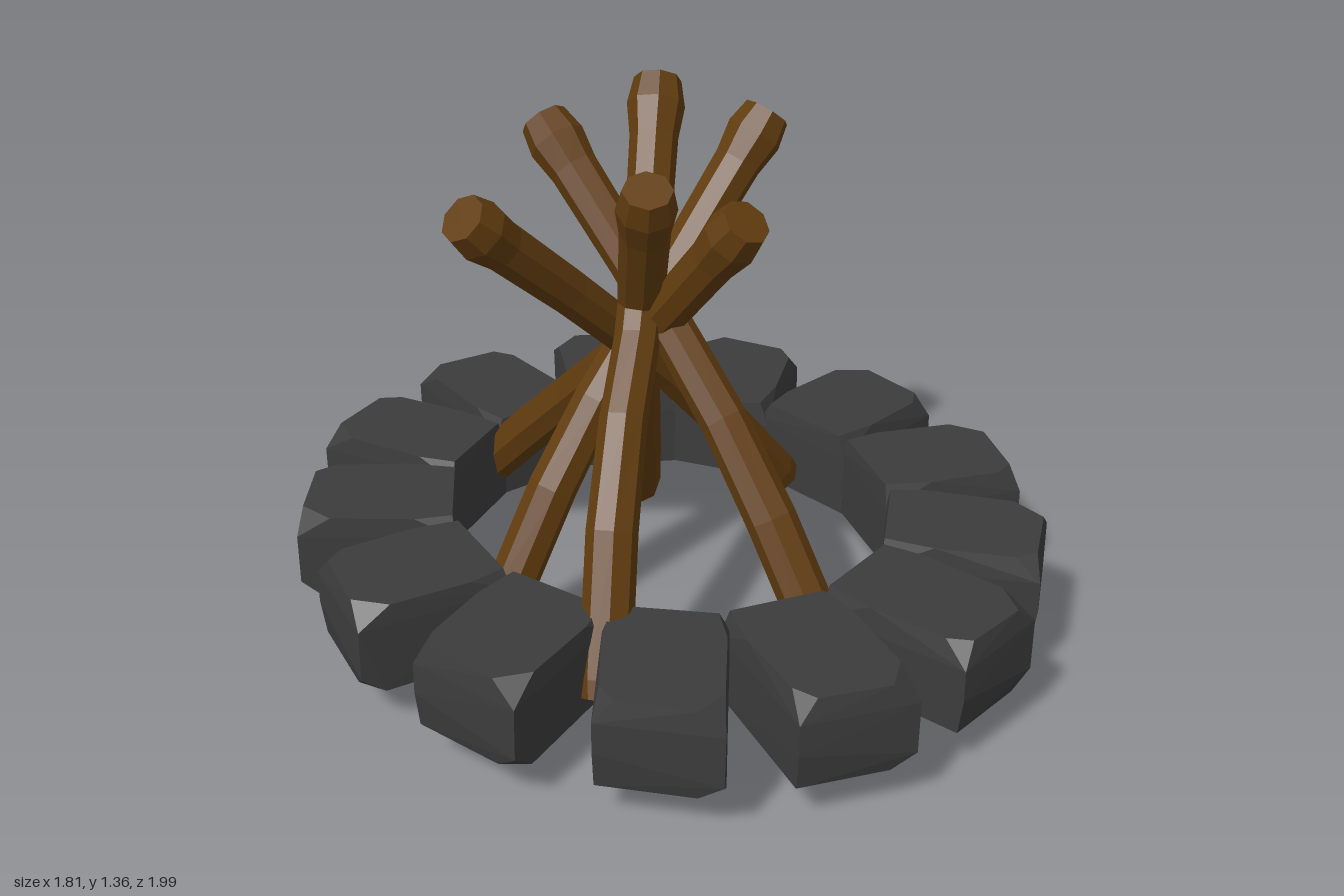
import * as THREE from 'three';
import { ConvexGeometry } from 'three/addons/geometries/ConvexGeometry.js';

const V = (x, y, z) => new THREE.Vector3(x, y, z);

// One chipped block: x points out of the ring, z runs along it
function stoneGeometry() {
  const bottom = 0.105, top = 0.338;
  return new ConvexGeometry([
    // underside
    V(0.575, bottom, -0.155), V(0.572, bottom, 0.145), V(0.955, bottom, 0.148),
    V(0.975, bottom, -0.09), V(0.93, bottom, -0.155),
    // bulging outer face
    V(0.992, 0.15, -0.15), V(0.99, 0.285, -0.152), V(0.967, 0.2, 0.15), V(0.965, 0.28, 0.15),
    // inner face
    V(0.573, 0.29, -0.162), V(0.57, 0.27, 0.147),
    // top with chipped corners
    V(0.58, top, -0.135), V(0.575, top, 0.12), V(0.7, top, 0.14), V(0.9, top, 0.135),
    V(0.955, top, 0.1), V(0.975, top, -0.085), V(0.9, top, -0.15), V(0.68, top, -0.155),
  ]);
}

// Log: a closed cylinder bent along a curve, with a swollen upper end
function logGeometry(points) {
  const curve = new THREE.CatmullRomCurve3(points);
  const sides = 8;
  const stops = [0, 0.03, 0.25, 0.42, 0.56, 0.72, 0.9, 0.955, 1];
  const radii = [0.056, 0.062, 0.062, 0.058, 0.056, 0.057, 0.061, 0.073, 0.06];
  const geometry = new THREE.CylinderGeometry(1, 1, 1, sides, stops.length - 1);
  const pos = geometry.attributes.position;
  const up = V(0, 1, 0), turn = new THREE.Quaternion(), p = V(0, 0, 0);
  for (let i = 0; i < pos.count; i++) {
    p.fromBufferAttribute(pos, i);
    const ring = Math.round((p.y + 0.5) * (stops.length - 1));
    turn.setFromUnitVectors(up, curve.getTangentAt(stops[ring]));
    p.y = 0;
    p.multiplyScalar(radii[ring]).applyQuaternion(turn).add(curve.getPointAt(stops[ring]));
    pos.setXYZ(i, p.x, p.y, p.z);
  }
  geometry.computeVertexNormals();
  return geometry;
}

export function createModel() {
  const model = new THREE.Group();
  model.name = 'campfire';
  const stoneMaterial = new THREE.MeshStandardMaterial({ color: 0x3c3c3c, flatShading: true });
  const woodMaterial = new THREE.MeshStandardMaterial({ color: 0x613c0f, flatShading: true });

  // Ring of stones, slightly narrower across x
  const ring = new THREE.Group();
  ring.name = 'stoneRing';
  ring.scale.x = 0.912;
  const block = stoneGeometry();
  const count = 13;
  for (let i = 0; i < count; i++) {
    const stone = new THREE.Mesh(block, stoneMaterial);
    stone.name = 'stone' + (i + 1);
    stone.rotation.y = -(THREE.MathUtils.degToRad(5) + (i / count) * Math.PI * 2);
    ring.add(stone);
  }
  model.add(ring);

  // Six leaning logs, each from foot to tip
  const paths = [
    [V(-0.01, 0.09, -0.74), V(-0.02, 0.42, -0.41), V(-0.05, 0.75, -0.07), V(-0.055, 1.17, 0.28)],
    [V(-0.12, 0.14, 0.62), V(-0.08, 0.58, 0.3), V(-0.04, 0.84, 0.03), V(0.01, 1.24, -0.42)],
    [V(-0.58, 0.15, 0.3), V(-0.35, 0.6, 0.14), V(-0.08, 0.87, -0.02), V(0.25, 1.32, -0.25)],
    [V(0.36, 0.03, -0.42), V(0.12, 0.45, -0.21), V(-0.05, 0.82, -0.05), V(-0.19, 1.24, 0.1)],
    [V(-0.45, 0.1, -0.18), V(-0.21, 0.52, -0.13), V(0.05, 0.84, -0.08), V(0.39, 1.25, -0.01)],
    [V(0.45, 0.19, 0.02), V(0.17, 0.53, -0.04), V(-0.12, 0.84, -0.11), V(-0.51, 1.2, -0.17)],
  ];
  const logs = new THREE.Group();
  logs.name = 'logs';
  paths.forEach((path, i) => {
    const log = new THREE.Mesh(logGeometry(path), woodMaterial);
    log.name = 'log' + (i + 1);
    logs.add(log);
  });
  model.add(logs);
  return model;
}
